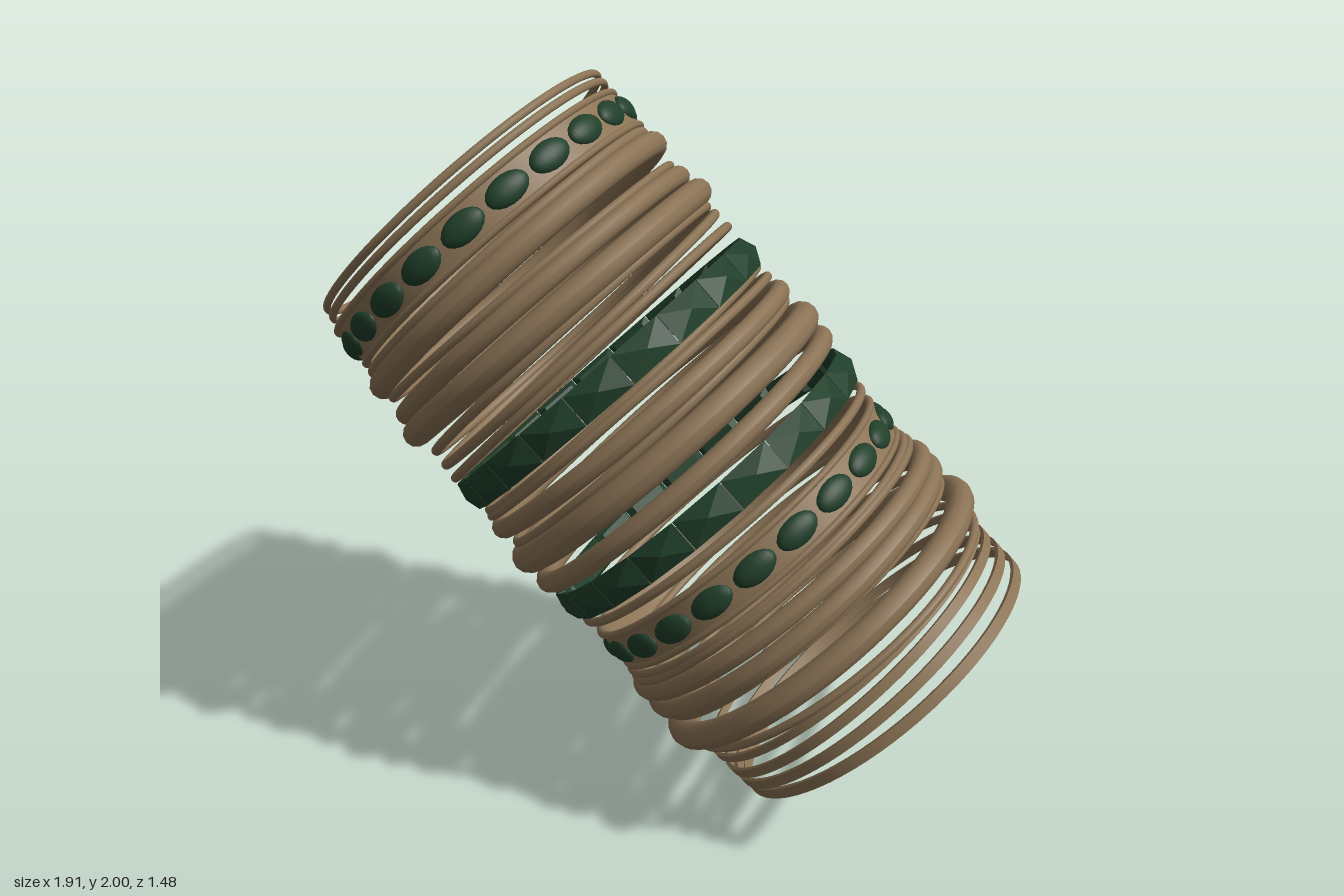
import * as THREE from 'three';
import { toCreasedNormals } from 'three/addons/utils/BufferGeometryUtils.js';

const SEGMENTS = 72;

export function createModel() {
  const bronze = new THREE.MeshStandardMaterial({ color: 0x8b7355 });
  bronze.name = 'bronze';
  const green = new THREE.MeshStandardMaterial({ color: 0x203f2a });
  green.name = 'greenStone';

  const model = new THREE.Group();
  model.name = 'bangleStack';

  // All bangles are strung along the local y axis of this tilted group
  const stack = new THREE.Group();
  stack.name = 'stack';
  stack.position.y = 1;
  stack.quaternion.setFromUnitVectors(
    new THREE.Vector3(0, 1, 0), new THREE.Vector3(-0.628, 0.723, -0.288).normalize());
  model.add(stack);
  const toLocal = stack.quaternion.clone().invert();

  // The middle of the stack sags slightly away from the straight axis
  const sag = new THREE.Vector3(-0.016, -0.014, 0.014).applyQuaternion(toLocal);
  function place(bangle, t) {
    bangle.position.copy(sag).multiplyScalar(1 - (t / 0.91) ** 4);
    bangle.position.y += t;
    stack.add(bangle);
  }

  // Ring with an oval cross-section
  function roundRing(name, radius, thick, high) {
    const profile = [];
    for (let i = 0; i <= 12; i++) {
      const a = (i / 12) * Math.PI * 2;
      profile.push(new THREE.Vector2(radius + thick * Math.cos(a), high * Math.sin(a)));
    }
    const mesh = new THREE.Mesh(new THREE.LatheGeometry(profile, SEGMENTS), bronze);
    mesh.name = name;
    return mesh;
  }

  // Flat ring with sharp edges
  function flatRing(name, inner, outer, height) {
    const h = height / 2;
    const profile = [[inner, -h], [outer, -h], [outer, h], [inner, h], [inner, -h]]
      .map(([x, y]) => new THREE.Vector2(x, y));
    const geometry = toCreasedNormals(new THREE.LatheGeometry(profile, SEGMENTS), 0.6);
    const mesh = new THREE.Mesh(geometry, bronze);
    mesh.name = name;
    return mesh;
  }

  // Repeats one geometry around a bangle, its z axis pointing outward
  function around(group, name, geometry, count, radius) {
    for (let i = 0; i < count; i++) {
      const a = (i / count) * Math.PI * 2;
      const mesh = new THREE.Mesh(geometry, green);
      mesh.name = name;
      mesh.position.set(Math.sin(a) * radius, 0, Math.cos(a) * radius);
      mesh.rotation.y = a;
      group.add(mesh);
    }
  }

  // Wide band with oval domed stones between two raised rims
  const domeGeometry = new THREE.SphereGeometry(1, 18, 6, 0, Math.PI * 2, 0, Math.PI / 2)
    .rotateX(Math.PI / 2).scale(0.064, 0.039, 0.024);
  function ovalStoneBangle(t) {
    const bangle = new THREE.Group();
    bangle.name = 'ovalStoneBangle';
    bangle.add(flatRing('stoneBand', 0.488, 0.503, 0.11));
    for (const side of [-1, 1]) {
      const rim = roundRing('bandRim', 0.5, 0.012, 0.01);
      rim.position.y = side * 0.056;
      bangle.add(rim);
    }
    around(bangle, 'ovalStone', domeGeometry, 22, 0.499);
    place(bangle, t);
  }

  // Faceted block: narrow inside, widening outward, then rising to a shallow point
  function facetedPart(outer, inner, depth, openEnded) {
    const geometry = new THREE.CylinderGeometry(
      outer * Math.SQRT1_2, inner * Math.SQRT1_2, 1, 4, 1, openEnded)
      .rotateY(Math.PI / 4).rotateX(Math.PI / 2).scale(0.154, 0.092, depth).toNonIndexed();
    geometry.computeVertexNormals();
    return geometry;
  }
  const blockBase = facetedPart(1, 0.75, 0.022, false);
  const blockPoint = facetedPart(0, 1, 0.022, true);
  function blockBangle(t) {
    const bangle = new THREE.Group();
    bangle.name = 'facetedBangle';
    around(bangle, 'stoneBlock', blockBase, 21, 0.506);
    around(bangle, 'stonePoint', blockPoint, 21, 0.528);
    place(bangle, t);
  }

  // Plain round bangles: height on the stack, radius, half thickness, half height, tilts
  const plain = [
    [0.9, 0.492, 0.009, 0.011, 0, 0],
    [0.872, 0.494, 0.009, 0.011, 0, 0],
    [0.7, 0.5, 0.012, 0.014, 0.01, 0.01],
    [0.655, 0.505, 0.032, 0.034, 0, 0.01],
    [0.6, 0.5, 0.012, 0.012, 0.02, -0.02],
    [0.55, 0.505, 0.025, 0.027, -0.01, 0],
    [0.49, 0.512, 0.04, 0.038, 0.01, -0.01],
    [0.43, 0.505, 0.014, 0.014, -0.02, 0.02],
    [0.395, 0.51, 0.014, 0.014, 0.03, 0.03],
    [0.345, 0.515, 0.013, 0.013, -0.02, 0.03],
    [0.215, 0.505, 0.012, 0.012, 0.01, 0.02],
    [0.185, 0.51, 0.013, 0.013, -0.02, 0],
    [0.14, 0.512, 0.026, 0.028, 0.01, -0.01],
    [0.095, 0.505, 0.013, 0.014, 0, 0.02],
    [0.035, 0.515, 0.04, 0.042, -0.01, 0],
    [-0.045, 0.515, 0.03, 0.03, 0.01, 0.01],
    [-0.215, 0.505, 0.012, 0.013, 0, -0.01],
    [-0.4, 0.505, 0.012, 0.012, 0.01, 0],
    [-0.425, 0.51, 0.013, 0.013, -0.02, 0.01],
    [-0.465, 0.512, 0.028, 0.028, 0, -0.01],
    [-0.52, 0.512, 0.028, 0.03, 0.01, 0.01],
    [-0.565, 0.505, 0.013, 0.013, -0.03, 0.01],
    [-0.63, 0.515, 0.04, 0.038, 0, 0],
    [-0.69, 0.505, 0.012, 0.012, 0.03, -0.02],
  ];
  for (const [t, radius, thick, high, tiltX, tiltZ] of plain) {
    const ring = roundRing('plainBangle', radius, thick, high);
    ring.rotation.set(tiltX, 0, tiltZ);
    place(ring, t);
  }

  // Flat bangles that fan apart on the upper front side: height, width and tilt
  const fanSide = new THREE.Vector3(0.88, 1.14, 0.94).applyQuaternion(toLocal).setY(0).normalize();
  const hinge = fanSide.cross(new THREE.Vector3(0, 1, 0));
  for (const [t, width, tilt] of [
    [0.725, 0.02, 0], [-0.735, 0.022, 0.03], [-0.79, 0.028, 0.06],
    [-0.84, 0.03, 0.04], [-0.886, 0.032, 0],
  ]) {
    const ring = flatRing('flatBangle', 0.489, 0.5, width);
    ring.quaternion.setFromAxisAngle(hinge, tilt);
    place(ring, t);
  }

  ovalStoneBangle(0.78);
  blockBangle(0.27);
  blockBangle(-0.14);
  ovalStoneBangle(-0.32);

  return model;
}
